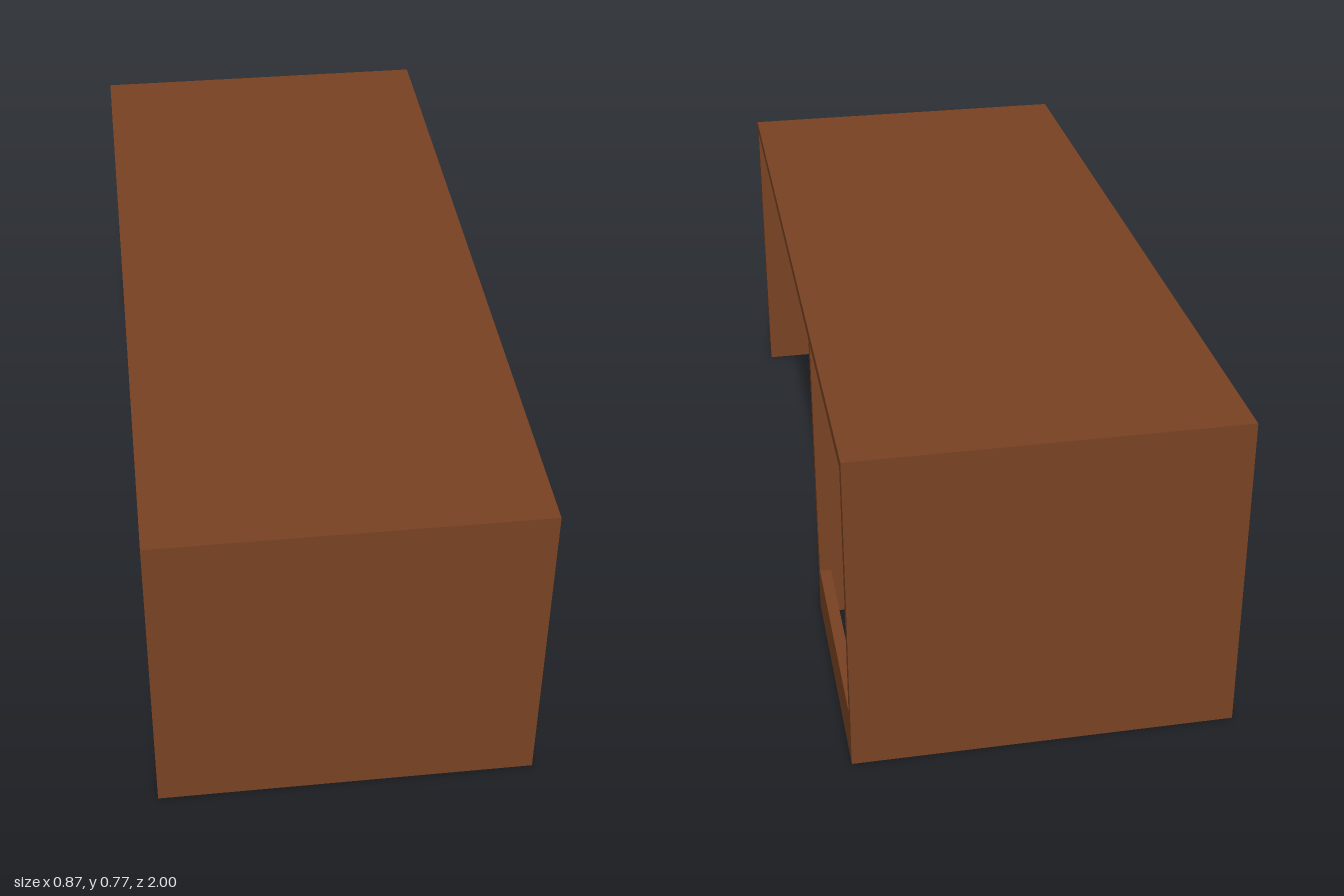
import * as THREE from 'three';

export function createModel() {
  const model = new THREE.Group();
  model.name = 'desk';
  const wood = new THREE.MeshStandardMaterial({ color: 0x784222 });
  wood.name = 'brown wood';

  const X = 0.437, H = 0.773, T = 0.027;   // half width, height, board thickness
  const under = H - T;                     // underside of the top
  const divBack = -0.42, divFront = -0.393; // divider faces along z

  // Board given by its lower and upper corners
  function board(name, x0, x1, y0, y1, z0, z1) {
    const mesh = new THREE.Mesh(new THREE.BoxGeometry(x1 - x0, y1 - y0, z1 - z0), wood);
    mesh.position.set((x0 + x1) / 2, (y0 + y1) / 2, (z0 + z1) / 2);
    mesh.name = name;
    model.add(mesh);
  }

  // Top and the two full-width ends
  board('top', -X, X, under, H, -1, 1);
  board('frontEnd', -X, X, 0, under, 1 - T, 1);
  board('backEnd', -X, X, 0, under, -1, -1 + T);

  // Upright between the knee space and the compartment
  board('divider', -0.415, X, 0, under, divBack, divFront);

  // Low rail across the open side of the compartment
  board('compartmentRail', X - T, X, 0, 0.123, -1 + T, divBack);

  // Thin recessed panels closing the far side
  board('kneePanel', -0.408, -0.398, 0, under, divFront, 1 - T);
  board('compartmentPanel', -0.408, -0.398, 0, under, -1 + T, divBack);

  return model;
}
